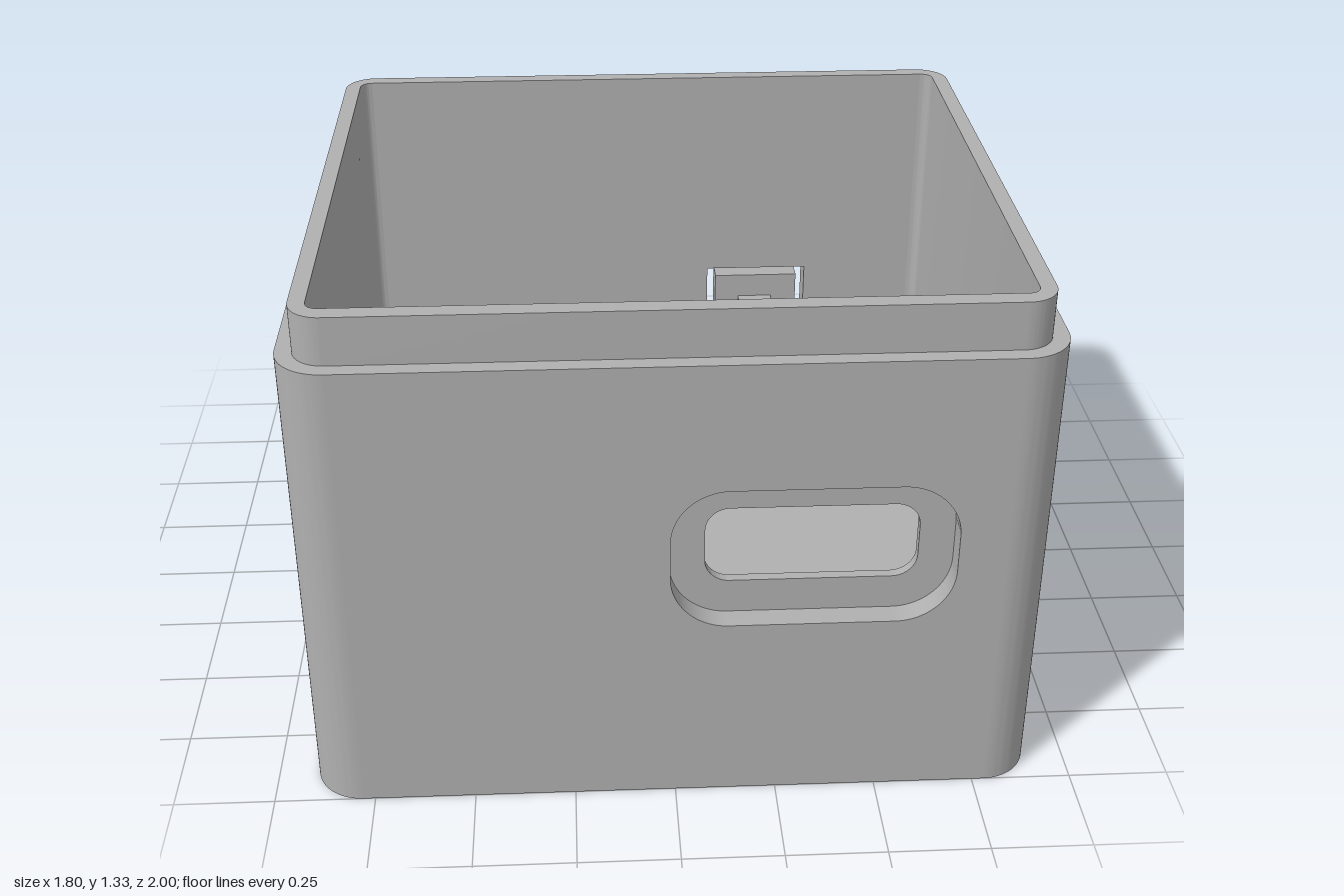
import * as THREE from 'three';
import { toCreasedNormals } from 'three/addons/utils/BufferGeometryUtils.js';

const grey = new THREE.MeshStandardMaterial({ color: 0xb0b0b0 });
grey.name = 'grey plastic';

// Main dimensions
const BACK = -0.585, FRONT = 1, WALL_TOP = 1.21, RIM = 1.33, FLOOR = 0.08;
const OUTER = { w: 0.9, z0: BACK, z1: FRONT, r: 0.12 };
const LIP = { w: 0.86, z0: -0.545, z1: 0.96, r: 0.08 };
const INNER = { w: 0.82, z0: -0.505, z1: 0.915, r: 0.03 };

// Rounded rectangle, anticlockwise
function roundRect(x0, y0, x1, y1, r) {
  const s = new THREE.Shape();
  s.absarc(x1 - r, y0 + r, r, -Math.PI / 2, 0);
  s.absarc(x1 - r, y1 - r, r, 0, Math.PI / 2);
  s.absarc(x0 + r, y1 - r, r, Math.PI / 2, Math.PI);
  s.absarc(x0 + r, y0 + r, r, Math.PI, Math.PI * 1.5);
  s.closePath();
  return s;
}
// Plan outlines are drawn with y = -z and laid flat afterwards
const plan = (p) => roundRect(-p.w, -p.z1, p.w, -p.z0, p.r);
const rect = (w, y0, y1) => new THREE.Shape([[-w, y0], [w, y0], [w, y1], [-w, y1]].map((p) => new THREE.Vector2(...p)));

// Flat face with optional hole
function face(shape, depth, hole, flip = false) {
  const s = shape.clone();
  if (hole) s.holes.push(hole);
  const g = new THREE.ShapeGeometry(s, 12);
  if (flip) { // turn the face towards -z
    const i = g.index.array;
    for (let k = 0; k < i.length; k += 3) [i[k], i[k + 1]] = [i[k + 1], i[k]];
    g.computeVertexNormals();
  }
  return g.translate(0, 0, depth);
}

// Band swept along z; it faces right of the point order, or left when flipped
function band(points, z0, z1, flip = false) {
  const pts = flip ? [...points].reverse() : points;
  const pos = [];
  for (let i = 0; i + 1 < pts.length; i++) {
    const a = pts[i], b = pts[i + 1];
    if (a.distanceTo(b) < 1e-6) continue;
    pos.push(a.x, a.y, z0, b.x, b.y, z0, b.x, b.y, z1, a.x, a.y, z0, b.x, b.y, z1, a.x, a.y, z1);
  }
  const g = new THREE.BufferGeometry();
  g.setAttribute('position', new THREE.Float32BufferAttribute(pos, 3));
  return toCreasedNormals(g, 0.6);
}

// Side wall with its two rounded corners
function sidePoints(p, side) {
  const path = new THREE.Path();
  path.absarc(p.w - p.r, -p.z1 + p.r, p.r, -Math.PI / 2, 0);
  path.absarc(p.w - p.r, -p.z0 - p.r, p.r, 0, Math.PI / 2);
  const pts = path.getPoints(12);
  return side > 0 ? pts : pts.map((q) => new THREE.Vector2(-q.x, q.y)).reverse();
}

export function createModel() {
  const model = new THREE.Group();
  model.name = 'enclosure';
  const add = (name, geometry) => {
    const m = new THREE.Mesh(geometry, grey);
    m.name = name;
    model.add(m);
    return m;
  };
  const lay = (g) => g.rotateX(-Math.PI / 2);

  // Floor, shoulder and rim
  add('underside', lay(face(plan(OUTER), 0, null, true)));
  add('innerFloor', lay(face(plan(INNER), FLOOR)));
  add('shoulder', lay(face(plan(OUTER), WALL_TOP, plan(LIP))));
  add('rim', lay(face(plan(LIP), RIM, plan(INNER))));
  add('lip', lay(band(plan(LIP).getPoints(12), WALL_TOP, RIM)));

  // Side walls, outside and inside
  for (const side of [1, -1]) {
    const name = side > 0 ? 'left' : 'right';
    add(name + 'OuterWall', lay(band(sidePoints(OUTER, side), 0, WALL_TOP)));
    add(name + 'InnerWall', lay(band(sidePoints(INNER, side), FLOOR, RIM, true)));
  }

  // Front wall with recessed port opening
  const outerFlat = rect(OUTER.w - OUTER.r, 0, WALL_TOP);
  const innerFlat = rect(INNER.w - INNER.r, FLOOR, RIM);
  const recess = roundRect(-0.015, 0.5, 0.665, 0.88, 0.14);
  const port = roundRect(0.07, 0.59, 0.58, 0.795, 0.06);
  const recessZ = FRONT - 0.06;
  add('frontOuterWall', face(outerFlat, FRONT, recess));
  add('recessWall', band(recess.getPoints(12), recessZ, FRONT, true));
  add('recessFloor', face(recess, recessZ, port));
  add('portWall', band(port.getPoints(12), INNER.z1, recessZ, true));
  add('frontInnerWall', face(innerFlat, INNER.z1, port, true));

  // Back wall with a slot cut around a flexible button
  const slot = new THREE.Shape([
    [0.18, 0.375], [0.205, 0.375], [0.205, 0.695], [0.45, 0.695],
    [0.45, 0.375], [0.475, 0.375], [0.475, 0.72], [0.18, 0.72],
  ].map((p) => new THREE.Vector2(...p)));
  slot.closePath();
  add('backOuterWall', face(outerFlat, BACK, slot, true));
  add('backInnerWall', face(innerFlat, INNER.z0, slot));
  add('buttonSlotWall', band(slot.getPoints(), BACK, INNER.z0, true));
  add('buttonNub', new THREE.BoxGeometry(0.1, 0.105, 0.03)).position.set(0.325, 0.5725, INNER.z0 + 0.015);

  // Snap ridges on both sides of the lip
  for (const side of [1, -1]) {
    const ridge = new THREE.Shape();
    ridge.moveTo(side * LIP.w, 1.235);
    ridge.lineTo(side * (LIP.w + 0.017), 1.267);
    ridge.lineTo(side * LIP.w, 1.299);
    ridge.closePath();
    const g = new THREE.ExtrudeGeometry(ridge, { depth: 0.42, bevelEnabled: false });
    add(side > 0 ? 'leftSnapRidge' : 'rightSnapRidge', g.translate(0, 0, -0.005));
  }

  // Mounting lug behind the right corner
  const lugX = -0.555, lugY = 0.76, lugR = 0.24;
  const lug = new THREE.Shape();
  lug.moveTo(lugX - lugR, -BACK);
  lug.lineTo(lugX + lugR, -BACK);
  lug.absarc(lugX, lugY, lugR, 0, Math.PI);
  lug.closePath();
  const hole = new THREE.Path();
  hole.absarc(lugX, lugY + 0.005, 0.113, 0, Math.PI * 2, true);
  lug.holes.push(hole);
  const lugGeo = new THREE.ExtrudeGeometry(lug, { depth: 0.19, bevelEnabled: false, curveSegments: 32 });
  add('mountingLug', lay(toCreasedNormals(lugGeo, 0.6)));

  return model;
}
